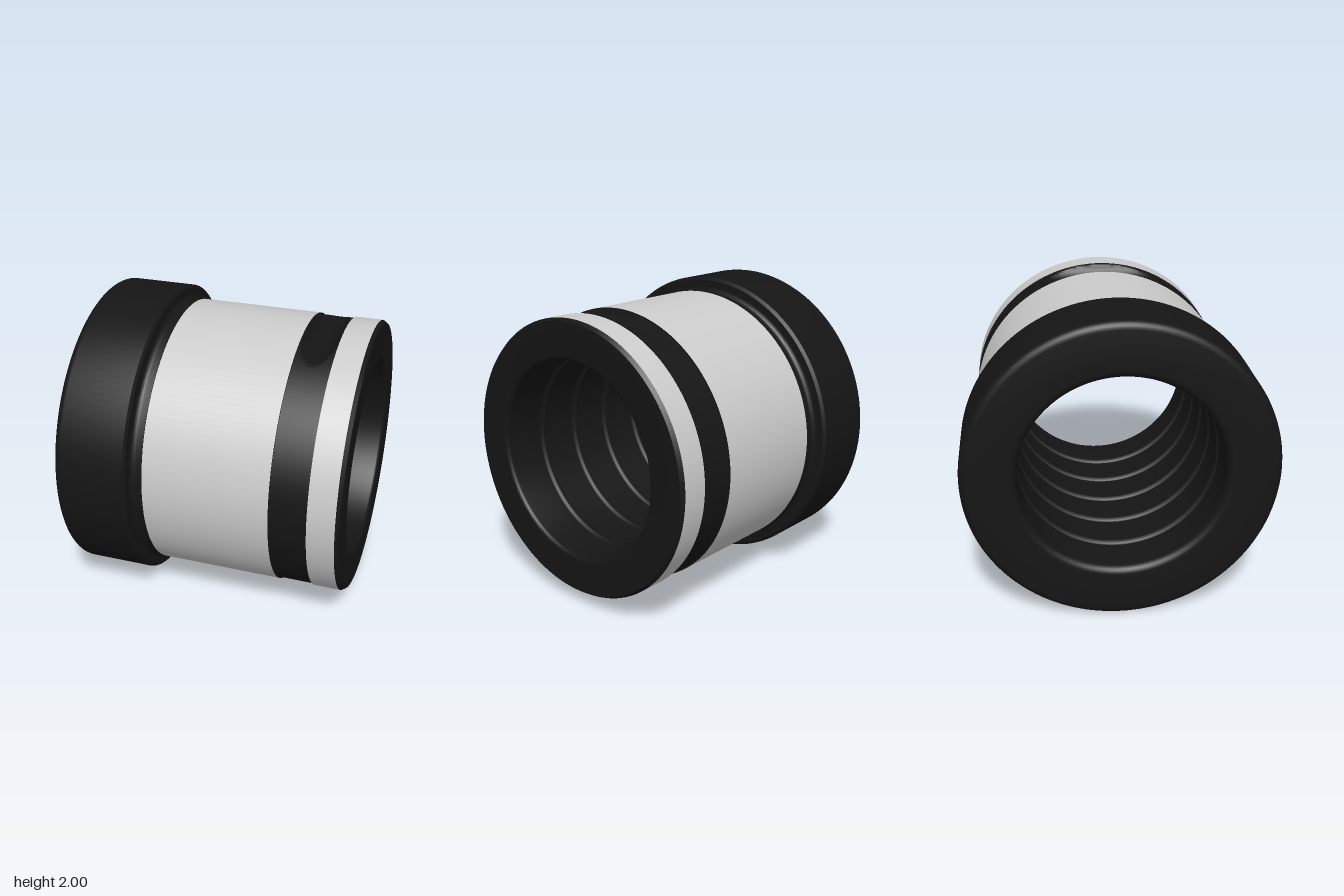
import * as THREE from 'three';
import { toCreasedNormals } from 'three/addons/utils/BufferGeometryUtils.js';

const BORE = 0.65, OUTER = 0.912;
const steel = new THREE.MeshStandardMaterial({ color: 0xcccccc });
const black = new THREE.MeshStandardMaterial({ color: 0x151515 });

// Points [x, radius] of a circular arc in the profile, angles in degrees
function arc(x, r, radius, from, to, n = 6) {
  return Array.from({ length: n + 1 }, (_, i) => {
    const a = THREE.MathUtils.degToRad(from + (to - from) * i / n);
    return [x + radius * Math.cos(a), r + radius * Math.sin(a)];
  });
}

// Revolve an [x, radius] profile about the x axis, seam at the bottom
function revolve(profile, segments = 160) {
  const points = profile.map(([x, r]) => new THREE.Vector2(r, x));
  return new THREE.LatheGeometry(points, segments, Math.PI / 2).rotateZ(-Math.PI / 2);
}

function part(name, geometry, material) {
  const mesh = new THREE.Mesh(toCreasedNormals(geometry, 0.5), material);
  mesh.name = name;
  return mesh;
}

// Black body: end face, bore with oil grooves, flange and undercut
function bodyProfile() {
  const profile = [
    [0.885, OUTER], [0.91, 0.895],
    ...arc(0.88, BORE + 0.03, 0.03, 0, -90),
  ];
  for (const x of [0.6, 0.3, 0, -0.3, -0.6]) {
    profile.push(...arc(x, BORE, 0.03, 0, 180, 8));
  }
  profile.push(
    ...arc(-0.865, BORE + 0.05, 0.05, -90, -180),
    ...arc(-0.865, 0.95, 0.05, 180, 90),
    [-0.445, 1], [-0.43, 0.98],
    ...arc(-0.395, 0.938, 0.035, 180, 270),
    [-0.355, 0.903], [-0.35, OUTER],
  );
  return profile;
}

// Black band with a round slot milled straight across its top
function slottedBand() {
  const x0 = 0.47, x1 = 0.71, mid = 0.59, slotR = 0.12, slotY = 0.93, r = 0.903;
  const profile = [[x0, OUTER]];
  for (let i = 0; i <= 24; i++) {
    profile.push([mid - (x1 - x0) / 2 * Math.cos(Math.PI * i / 24), r]);
  }
  profile.push([x1, OUTER]);
  const geometry = revolve(profile, 256);
  const p = geometry.attributes.position;
  for (let i = 0; i < p.count; i++) {
    const dx = p.getX(i) - mid;
    const floor = slotY - Math.sqrt(Math.max(0, slotR ** 2 - dx ** 2));
    if (p.getY(i) > floor) p.setY(i, Math.min(p.getY(i), floor));
  }
  return geometry;
}

export function createModel() {
  const group = new THREE.Group();
  group.name = 'flangedBushing';
  group.add(
    part('flangedBody', revolve(bodyProfile()), black),
    part('groundSleeve', revolve([[-0.35, OUTER], [0.47, OUTER]]), steel),
    part('slottedBand', slottedBand(), black),
    part('endRing', revolve([[0.71, OUTER], [0.885, OUTER]]), steel),
  );
  group.children.forEach((mesh) => { mesh.position.y = 1; });
  return group;
}
